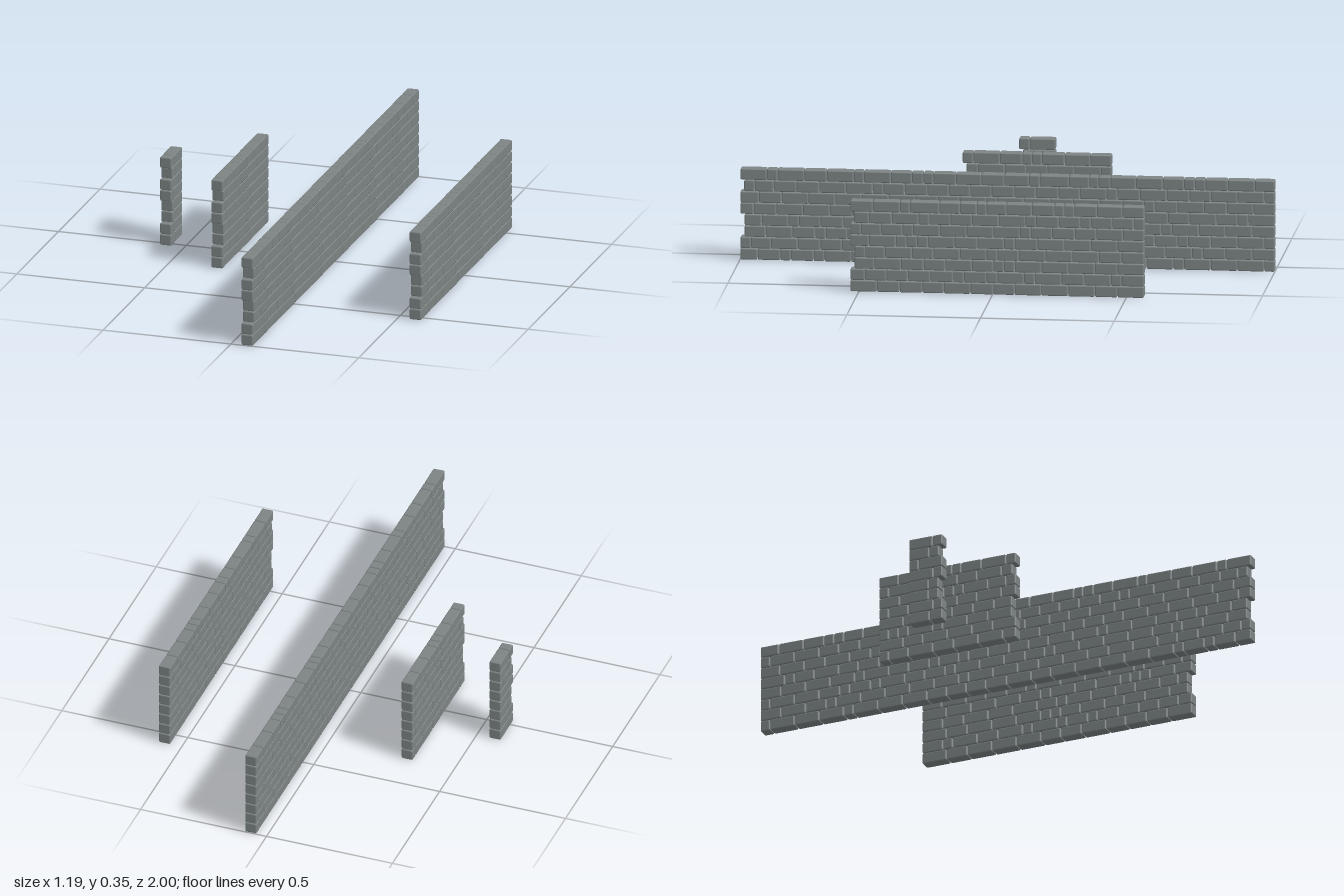
import * as THREE from 'three';
import { RoundedBoxGeometry } from 'three/addons/geometries/RoundedBoxGeometry.js';
import { mergeGeometries } from 'three/addons/utils/BufferGeometryUtils.js';

const ROWS = 8, PITCH = 0.0434, THICK = 0.045, GAP = 0.002;
const LENGTHS = [0.04, 0.08, 0.085, 0.1, 0.1]; // small, medium and long stones
const END_INSET = [0, 0, 0.016, 0.016, 0, 0, 0.014, 0]; // ragged front end, per course

// x position, z range and the joints of the top course
const WALLS = [
  { name: 'pillarWall', x: -0.573, z0: -0.11, z1: 0.027, joints: [-0.013] },
  { name: 'shortWall', x: -0.313, z0: -0.348, z1: 0.21,
    joints: [-0.268, -0.172, -0.087, -0.05, -0.013, 0.07, 0.17] },
  { name: 'longWall', x: 0.063, z0: -1, z1: 1,
    joints: [-0.925, -0.824, -0.74, -0.7, -0.66, -0.58, -0.48, -0.385, -0.34, -0.305, -0.23, -0.12, -0.08,
      0.013, 0.098, 0.193, 0.278, 0.315, 0.358, 0.437, 0.538, 0.575, 0.676, 0.76, 0.86, 0.9] },
  { name: 'mediumWall', x: 0.568, z0: -0.567, z1: 0.533,
    joints: [-0.485, -0.39, -0.305, -0.267, -0.23, -0.146, -0.05, 0.024, 0.06, 0.123, 0.2, 0.31, 0.347, 0.448] },
];

function seeded(seed) {
  let s = seed;
  return () => (s = (s * 16807) % 2147483647) / 2147483647;
}

// Joints of one course, kept clear of the joints in the course above
function courseJoints(z0, z1, above, rand) {
  const joints = [];
  let z = z0;
  while (z1 - z > 0.125) {
    let next = z;
    for (let t = 0; t < 8; t++) {
      next = z + LENGTHS[Math.floor(rand() * LENGTHS.length)];
      if (above.every((a) => Math.abs(a - next) > 0.014)) break;
    }
    joints.push((z = next));
  }
  if (z1 - z > 0.1) joints.push(z1 - 0.04);
  return joints;
}

function stone(x, y, za, zb) {
  const g = new RoundedBoxGeometry(THICK, PITCH - GAP * 0.5, zb - za - GAP, 1, 0.005);
  return g.translate(x, y, (za + zb) / 2);
}

export function createModel() {
  const model = new THREE.Group();
  model.name = 'stoneWalls';
  const material = new THREE.MeshStandardMaterial({ color: 0x7d8484 });

  WALLS.forEach(({ name, x, z0, z1, joints }, w) => {
    const rand = seeded(4711 + w * 977);
    const stones = [];
    let current = joints;
    // Lay the courses from the top down
    for (let row = ROWS - 1; row >= 0; row--) {
      const end = z1 - END_INSET[row];
      if (row < ROWS - 1) current = courseJoints(z0, end, current, rand);
      const cuts = [z0, ...current, end];
      for (let i = 1; i < cuts.length; i++) {
        stones.push(stone(x, (row + 0.5) * PITCH, cuts[i - 1], cuts[i]));
      }
    }
    const wall = new THREE.Mesh(mergeGeometries(stones), material);
    wall.name = name;
    model.add(wall);
  });
  return model;
}
